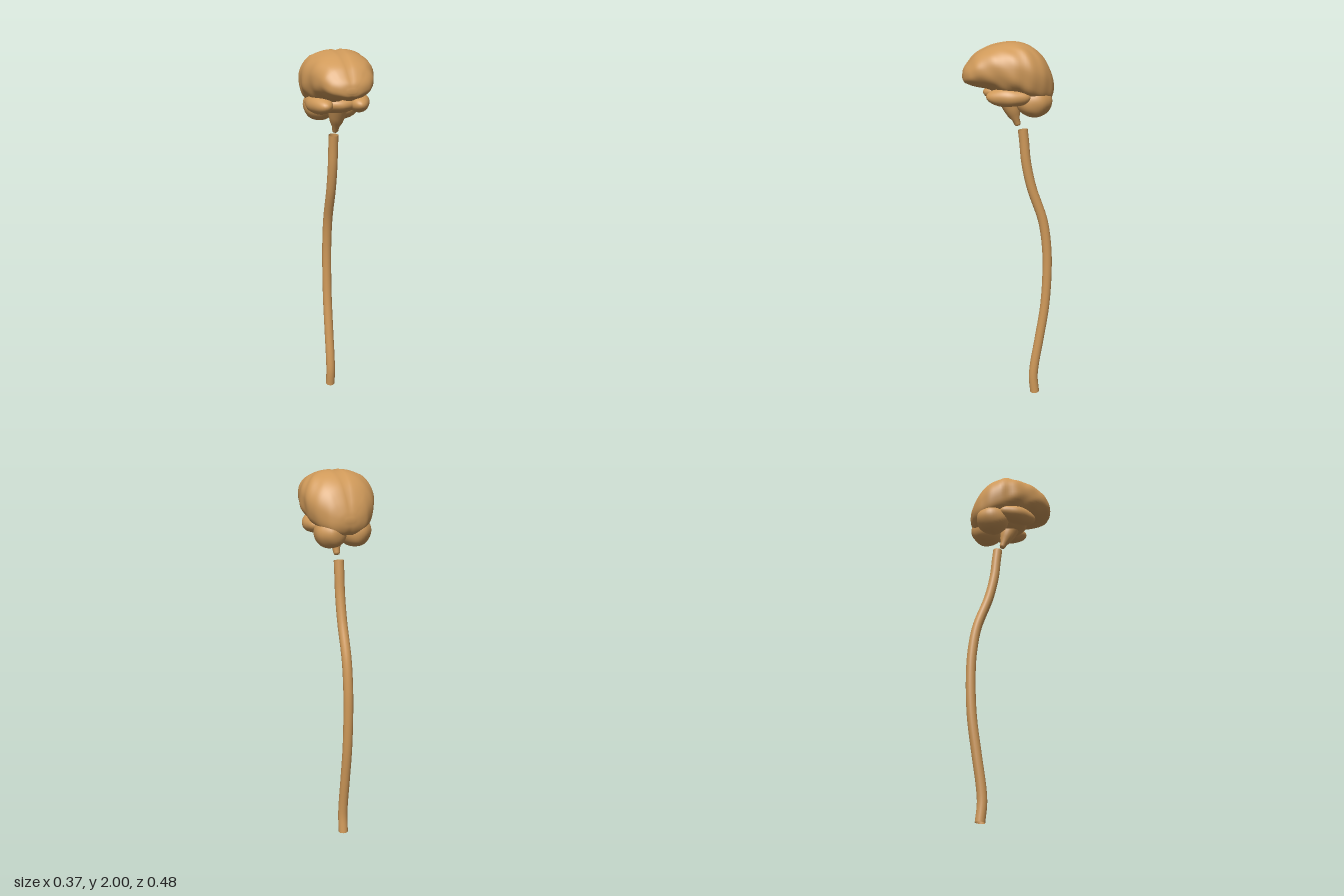
import * as THREE from 'three';
import { mergeVertices } from 'three/addons/utils/BufferGeometryUtils.js';

const material = new THREE.MeshStandardMaterial({ color: 0xd09a5a, side: THREE.DoubleSide });

function add(group, name, geometry) {
  const mesh = new THREE.Mesh(geometry, material);
  mesh.name = name;
  group.add(mesh);
  return mesh;
}

// Low, smooth bumps that suggest the folds; symmetrical in x
function lump(x, y, z) {
  const a = Math.abs(x);
  return 0.003 * Math.sin(48 * a + 22 * y) * Math.cos(42 * z - 26 * y) + 0.002 * Math.sin(70 * z + 45 * a);
}

// Cerebrum: rounded cross-sections from front to back [z, top, bottom, half width]
function cerebrumGeometry() {
  const stations = [
    [0.24, 1.84, 1.82, 0.02], [0.232, 1.87, 1.80, 0.06], [0.21, 1.90, 1.79, 0.10],
    [0.175, 1.94, 1.78, 0.13], [0.11, 1.976, 1.765, 0.153], [0.05, 1.993, 1.74, 0.168],
    [-0.03, 1.999, 1.715, 0.183], [-0.1, 1.98, 1.70, 0.175], [-0.16, 1.935, 1.69, 0.145],
    [-0.2, 1.87, 1.70, 0.102], [-0.219, 1.82, 1.73, 0.06], [-0.226, 1.785, 1.765, 0.02],
  ];
  const heights = new THREE.CatmullRomCurve3(stations.map(s => new THREE.Vector3(s[0], s[1], s[2])));
  const widths = new THREE.CatmullRomCurve3(stations.map(s => new THREE.Vector3(s[3], 0, 0)), false, 'catmullrom');
  const rows = 55, sides = 64, pos = [], index = [];
  const power = (v) => Math.sign(v) * Math.pow(Math.abs(v), 0.88);
  for (let i = 0; i <= rows; i++) {
    const h = heights.getPoint(i / rows), w = Math.max(widths.getPoint(i / rows).x, 0.01);
    const mid = (h.y + h.z) / 2, half = (h.y - h.z) / 2;
    for (let j = 0; j < sides; j++) {
      const a = (j / sides) * Math.PI * 2;
      let x = w * power(Math.cos(a)), y = mid + half * power(Math.sin(a));
      const k = 1 + lump(x, y, h.x) / 0.15;
      // Shallow fissure between the hemispheres
      const groove = 0.007 * Math.exp(-((x / 0.014) ** 2)) * Math.min(1, half / 0.08);
      x *= k;
      y = mid + (y - mid) * (Math.sin(a) > 0.8 ? 1 : k) - Math.sign(Math.sin(a)) * groove;
      pos.push(x, y, h.x);
    }
  }
  for (let i = 0; i < rows; i++) {
    for (let j = 0; j < sides; j++) {
      const a = i * sides + j, b = i * sides + (j + 1) % sides;
      index.push(a, a + sides, b, b, a + sides, b + sides);
    }
  }
  // Close the front and back ends
  for (const [row, flip] of [[0, false], [rows, true]]) {
    const centre = pos.length / 3, s = stations[flip ? stations.length - 1 : 0];
    pos.push(0, (s[1] + s[2]) / 2, s[0]);
    for (let j = 0; j < sides; j++) {
      const a = row * sides + j, b = row * sides + (j + 1) % sides;
      index.push(centre, flip ? b : a, flip ? a : b);
    }
  }
  const geometry = new THREE.BufferGeometry();
  geometry.setAttribute('position', new THREE.Float32BufferAttribute(pos, 3));
  geometry.setIndex(index);
  geometry.computeVertexNormals();
  return geometry;
}

// Ellipsoid lobe with the same gentle folds
function lobeGeometry(radii, centre, turn = 0) {
  let geometry = new THREE.SphereGeometry(1, 36, 24);
  geometry.deleteAttribute('uv');
  geometry.deleteAttribute('normal');
  geometry = mergeVertices(geometry);
  geometry.scale(...radii).rotateY(turn).translate(...centre);
  const p = geometry.attributes.position, c = new THREE.Vector3(...centre), v = new THREE.Vector3();
  for (let i = 0; i < p.count; i++) {
    v.fromBufferAttribute(p, i);
    const k = 1 + lump(v.x, v.y, v.z) / 0.12;
    v.sub(c).multiplyScalar(k).add(c);
    p.setXYZ(i, v.x, v.y, v.z);
  }
  geometry.computeVertexNormals();
  return geometry;
}

export function createModel() {
  const model = new THREE.Group();
  model.name = 'brainAndSpinalCord';

  const brain = new THREE.Group();
  brain.name = 'brain';
  model.add(brain);
  add(brain, 'cerebrum', cerebrumGeometry());
  add(brain, 'brainBase', lobeGeometry([0.11, 0.055, 0.12], [0, 1.735, -0.02]));
  for (const [side, s] of [['left', 1], ['right', -1]]) {
    add(brain, side + 'TemporalLobe', lobeGeometry([0.057, 0.048, 0.112], [s * 0.105, 1.735, 0.016], -s * 0.2));
    add(brain, side + 'Cerebellum', lobeGeometry([0.082, 0.08, 0.09], [s * 0.065, 1.705, -0.118]));
  }

  // Brain stem: tapered, leaning back towards its tip
  const stemProfile = [[0, 0], [0.012, 0.002], [0.017, 0.012], [0.02, 0.035], [0.034, 0.065], [0.043, 0.1], [0.05, 0.15]];
  const stem = add(brain, 'brainStem', new THREE.LatheGeometry(stemProfile.map(p => new THREE.Vector2(...p)), 24));
  stem.position.set(0, 1.572, -0.046);
  stem.rotation.x = 0.36;

  // Spinal cord: open tube along the curve of the spine, [y, z]
  const path = [[1.55, -0.07], [1.48, -0.078], [1.38, -0.088], [1.24, -0.118], [1.05, -0.182], [0.9, -0.205], [0.76, -0.21],
    [0.55, -0.2], [0.34, -0.17], [0.18, -0.145], [0.1, -0.139], [0.005, -0.148]];
  const curve = new THREE.CatmullRomCurve3(path.map(([y, z]) => new THREE.Vector3(0, y, z)));
  add(model, 'spinalCord', new THREE.TubeGeometry(curve, 60, 0.026, 16, false));

  return model;
}
